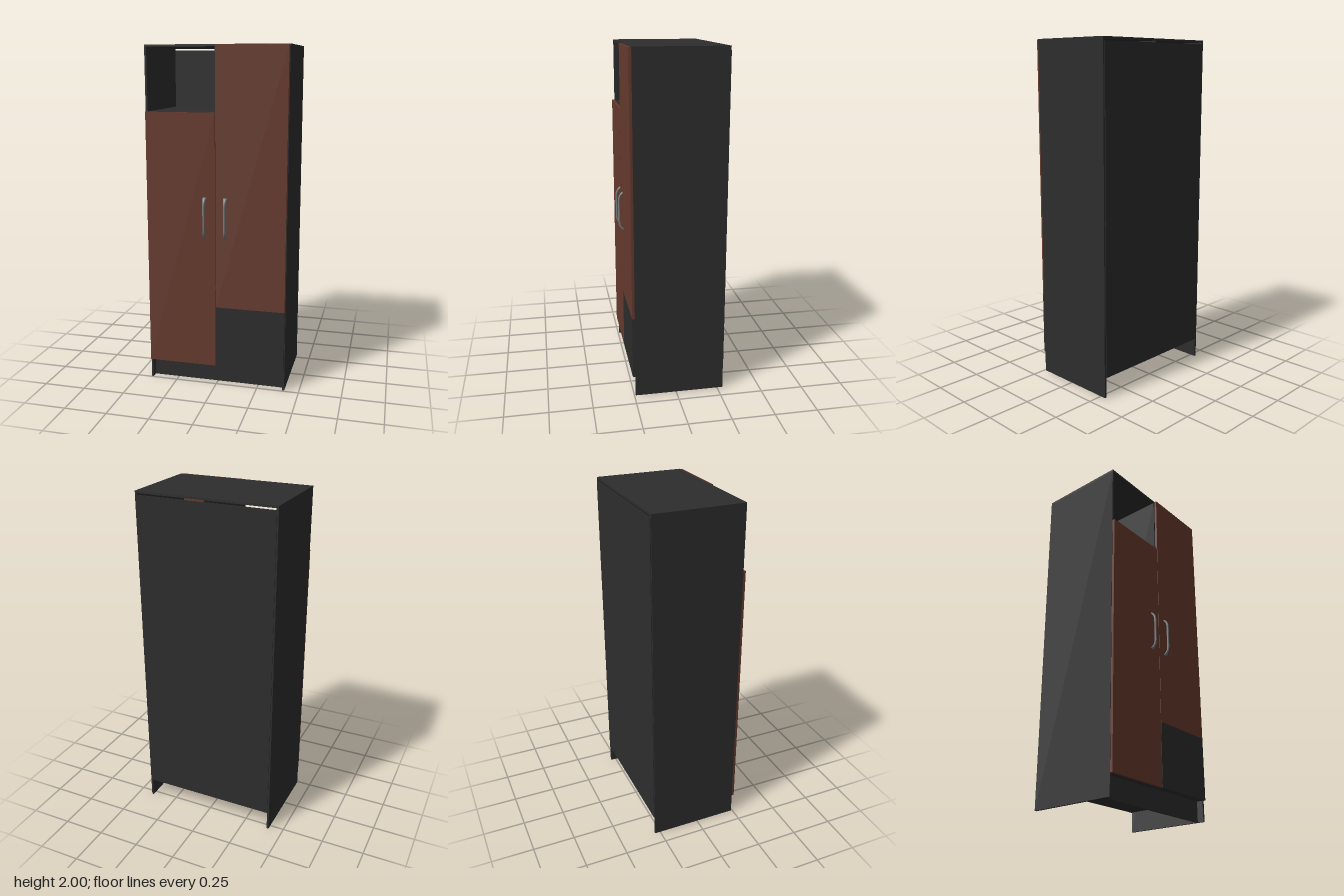
import * as THREE from 'three';

export function createModel() {
  const group = new THREE.Group();
  const mat = (name, color) => {
    const m = new THREE.MeshStandardMaterial({ color });
    m.name = name;
    return m;
  };
  const dark = mat('charcoal board', 0x2d2d2d);
  const brown = mat('brown wood', 0x663a2e);
  const metal = mat('grey metal', 0x757c7c);

  // Panel given by its limits on each axis
  const panel = (name, material, [x0, x1], [y0, y1], [z0, z1]) => {
    const mesh = new THREE.Mesh(new THREE.BoxGeometry(x1 - x0, y1 - y0, z1 - z0), material);
    mesh.position.set((x0 + x1) / 2, (y0 + y1) / 2, (z0 + z1) / 2);
    mesh.name = name;
    group.add(mesh);
  };

  const W = 0.414, T = 0.012, back = -0.283, front = 0.242, base = 0.12;
  const inner = W - T;

  // Carcass
  panel('leftSide', dark, [inner, W], [0, 2 - T], [back, front]);
  panel('rightSide', dark, [-W, -inner], [0, 2 - T], [back, front]);
  panel('topBoard', dark, [-W, W], [2 - T, 2], [back, front]);
  panel('bottomBoard', dark, [-inner, inner], [base, base + T], [back, front]);
  panel('backPanel', dark, [-0.405, 0.405], [base, 1.978], [-0.287, -0.279]);
  panel('kickBoard', dark, [-inner, inner], [0, base], [front - 0.05, front - 0.038]);
  panel('divider', dark, [-0.006, 0.006], [base + T, 2 - T], [-0.279, front]);
  panel('nicheShelf', dark, [-inner, -0.006], [1.616, 1.628], [-0.279, front]);

  // Doors and lower drawer front
  const doorZ = [front, 0.257];
  panel('rightDoor', brown, [-0.412, -0.002], [base, 1.628], doorZ);
  panel('leftDoor', brown, [0.001, 0.41], [0.49, 1.998], doorZ);
  panel('drawerFront', dark, [0.001, 0.41], [base, 0.49], doorZ);

  // Bow handles, widening towards the door
  const path = new THREE.CurvePath();
  const v = (y, z) => new THREE.Vector3(0, y, z);
  const points = [v(-0.114, 0.255), v(-0.106, 0.265), v(-0.09, 0.275), v(-0.072, 0.279),
    v(0, 0.279), v(0.072, 0.279), v(0.09, 0.275), v(0.106, 0.265), v(0.114, 0.255)];
  for (let i = 1; i < points.length; i++) path.add(new THREE.LineCurve3(points[i - 1], points[i]));
  const handle = new THREE.TubeGeometry(new THREE.CatmullRomCurve3(points), 48, 0.006, 12);
  const p = handle.attributes.position;
  for (let i = 0; i < p.count; i++) {
    const t = THREE.MathUtils.clamp((0.279 - p.getZ(i)) / 0.022, 0, 1);
    p.setX(i, p.getX(i) * (1.1 + 0.9 * t));
  }
  handle.computeVertexNormals();
  for (const [name, x] of [['rightHandle', -0.065], ['leftHandle', 0.057]]) {
    const mesh = new THREE.Mesh(handle, metal);
    mesh.position.set(x, 1.03, 0);
    mesh.name = name;
    group.add(mesh);
  }
  return group;
}
